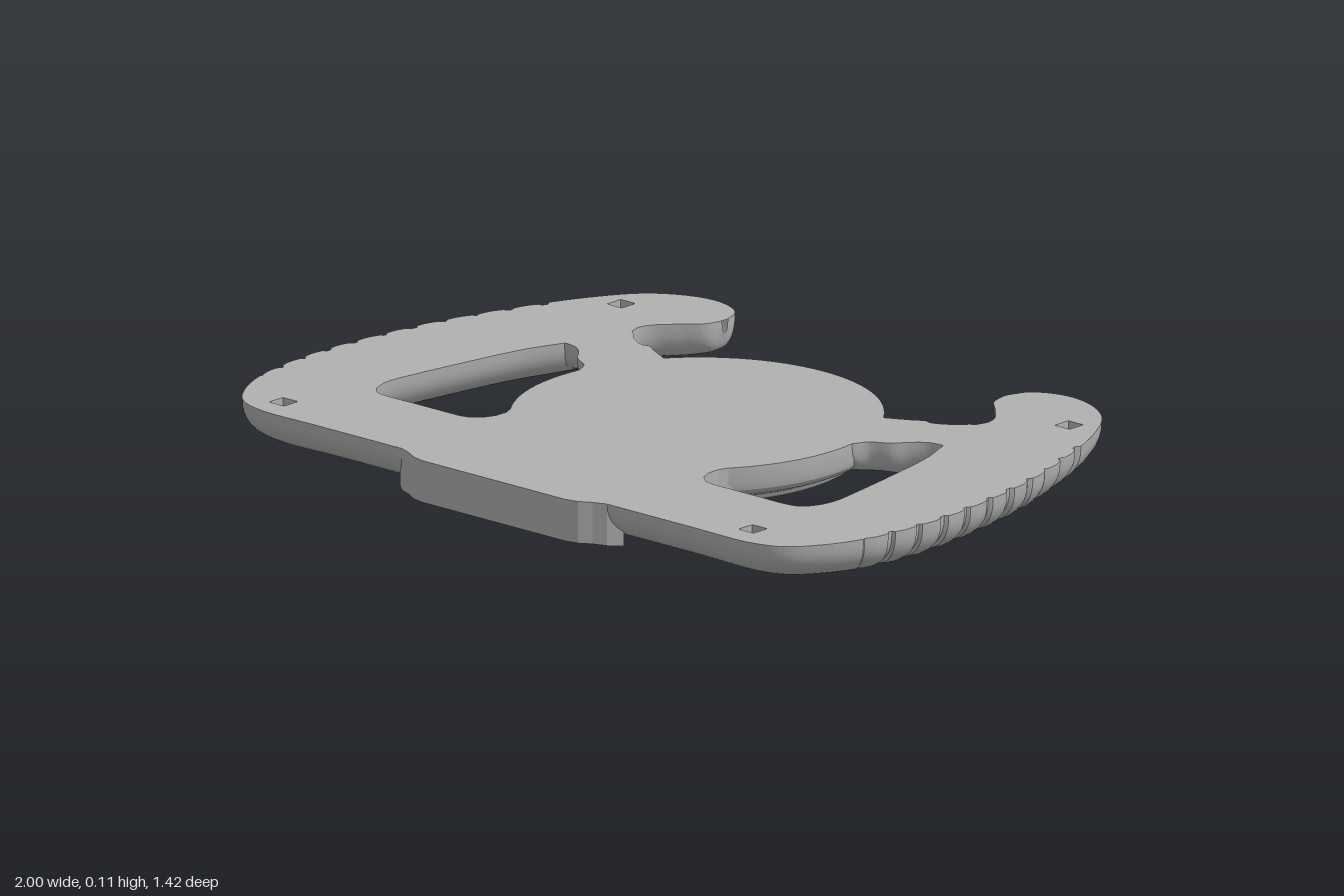
import * as THREE from 'three';
import { toCreasedNormals } from 'three/addons/utils/BufferGeometryUtils.js';

const TOP = 0.11;
const grey = new THREE.MeshStandardMaterial({ color: 0xb0b0b0, side: THREE.DoubleSide });
grey.name = 'grey plastic';

function part(name, geometry) {
  const mesh = new THREE.Mesh(geometry, grey);
  mesh.name = name;
  return mesh;
}

// Shape on the ground plane from [x, z] pairs
const flat = (pts) => pts.map(([x, z]) => new THREE.Vector2(x, -z));

function slab(pts, y0, y1, holes = []) {
  const shape = new THREE.Shape(flat(pts));
  holes.forEach((h) => shape.holes.push(new THREE.Path(flat(h))));
  return new THREE.ExtrudeGeometry(shape, { depth: y1 - y0, bevelEnabled: false })
    .rotateX(-Math.PI / 2).translate(0, y0, 0);
}

// Flat-topped, round-bottomed loft between two rails. Row: [ox, oz, ix, iz, depth]
function loft(rows, steps, inset = () => 0, pockets = []) {
  const outer = new THREE.CatmullRomCurve3(rows.map((r) => new THREE.Vector3(r[0], 0, r[1])));
  const inner = new THREE.CatmullRomCurve3(rows.map((r) => new THREE.Vector3(r[2], r[4], r[3])));
  const n = (rows.length - 1) * steps, ring = 24, pos = [], idx = [], edgeA = [], edgeB = [];
  for (let i = 0; i <= n; i++) {
    const o = outer.getPoint(i / n), q = inner.getPoint(i / n);
    const depth = Math.min(q.y, TOP);
    for (let j = 0; j <= ring; j++) {
      const a = (Math.PI * j) / ring, c = Math.cos(a), s = Math.max(0, Math.sin(a));
      const k = 1 - inset(o, j / ring);
      const u = Math.sign(c) * Math.abs(c) ** 0.8 * k;
      const x = (o.x + q.x) / 2 + (u * (o.x - q.x)) / 2;
      const z = (o.z + q.z) / 2 + (u * (o.z - q.z)) / 2;
      pos.push(x, TOP - depth * s ** 0.8 * k, z);
      if (j === 0) edgeA.push([x, z]);
      if (j === ring) edgeB.push([x, z]);
      if (i < n && j < ring) {
        const p = i * (ring + 1) + j, r = p + ring + 1;
        idx.push(p, r, p + 1, p + 1, r, r + 1);
      }
    }
  }
  const shell = new THREE.BufferGeometry();
  shell.setAttribute('position', new THREE.Float32BufferAttribute(pos, 3));
  shell.setIndex(idx);
  const shape = new THREE.Shape(flat([...edgeA, ...edgeB.reverse()]));
  pockets.forEach((h) => shape.holes.push(new THREE.Path(flat(h))));
  const cap = new THREE.ShapeGeometry(shape).rotateX(-Math.PI / 2).translate(0, TOP, 0);
  return { shell: toCreasedNormals(shell, 0.6), cap };
}

const square = (x, z, h) => [[x - h, z - h], [x + h, z - h], [x + h, z + h], [x - h, z + h]];

export function createModel() {
  const model = new THREE.Group();
  model.name = 'steeringWheel';

  // Rim: horn, grip, lower corner and half of the bottom bar, then mirrored
  const half = [
    [0.45, -0.62, 0.45, -0.60, 0.03], [0.472, -0.67, 0.465, -0.555, 0.075],
    [0.52, -0.70, 0.51, -0.51, 0.093], [0.58, -0.71, 0.55, -0.465, 0.1],
    [0.66, -0.69, 0.562, -0.43, 0.102], [0.74, -0.635, 0.555, -0.39, 0.104],
    [0.81, -0.53, 0.575, -0.33, 0.105], [0.88, -0.37, 0.61, -0.215, 0.106],
    [0.95, -0.15, 0.645, -0.12, 0.108], [0.985, 0.05, 0.68, 0.05, 0.109],
    [0.998, 0.2, 0.705, 0.2, 0.109], [0.995, 0.32, 0.715, 0.28, 0.108],
    [0.975, 0.45, 0.71, 0.32, 0.106], [0.93, 0.56, 0.695, 0.355, 0.104],
    [0.87, 0.635, 0.675, 0.373, 0.103], [0.79, 0.665, 0.64, 0.38, 0.102],
    [0.6, 0.667, 0.55, 0.38, 0.1], [0.35, 0.667, 0.35, 0.38, 0.1],
  ];
  const mirrored = half.map(([a, b, c, d, e]) => [-a, b, -c, d, e]).reverse();

  // Finger ridges on the outer side of each grip
  const ridges = (o, across) => {
    if (o.z < -0.43 || o.z > 0.46 || Math.abs(o.x) < 0.82 || across > 0.62) return 0;
    const f = ((o.z + 0.43) / 0.089) % 1;
    return f < 0.2 ? 0.085 : 0.03 - 0.03 * Math.sin((Math.PI * (f - 0.2)) / 0.8);
  };

  const holes = [[0.72, -0.54], [-0.72, -0.54], [0.72, 0.58], [-0.79, 0.58]];
  const rim = loft([...half, ...mirrored], 24, ridges, holes.map(([x, z]) => square(x, z, 0.024)));
  model.add(part('rimShell', rim.shell), part('rimTop', rim.cap));

  // Square pockets sunk into the top, open upwards
  for (const [x, z] of holes) {
    const g = new THREE.BoxGeometry(0.048, 0.05, 0.048).translate(x, TOP - 0.025, z);
    const index = Array.from(g.index.array);
    index.splice(12, 6);
    // Turn the walls to face inwards
    g.setIndex(index.reverse());
    g.clearGroups();
    const inward = g.toNonIndexed();
    inward.computeVertexNormals();
    model.add(part('pocket', inward));
  }

  // Hub disc with a stepped, bevelled underside
  const profile = [[0, 0.005], [0.385, 0.005], [0.395, 0.012], [0.4, 0.022], [0.43, 0.035],
    [0.445, 0.05], [0.45, 0.068], [0.45, TOP], [0, TOP]];
  const hub = new THREE.LatheGeometry(profile.map(([x, y]) => new THREE.Vector2(x, y)), 96);
  hub.scale(0.985, 1, 1).translate(0, 0, -0.015);
  model.add(part('hub', toCreasedNormals(hub, 0.45)));

  // Spokes with a wider collar, and the rounded webs between hub and bottom bar
  const spokeRows = [
    [0.32, -0.27, 0.40, -0.04, 0.085], [0.36, -0.29, 0.437, -0.08, 0.088],
    [0.415, -0.318, 0.457, -0.118, 0.092], [0.445, -0.335, 0.505, -0.148, 0.094],
    [0.465, -0.332, 0.535, -0.185, 0.082], [0.51, -0.355, 0.57, -0.212, 0.078],
    [0.555, -0.395, 0.622, -0.216, 0.08], [0.63, -0.41, 0.68, -0.19, 0.085],
  ];
  const web = [[0.2, 0.45], [0.42, 0.45], [0.41, 0.381], [0.38, 0.373], [0.355, 0.352],
    [0.342, 0.32], [0.341, 0.285], [0.355, 0.25], [0.2, 0.25]];
  for (const side of [1, -1]) {
    const arm = new THREE.Group();
    arm.name = side > 0 ? 'leftSpoke' : 'rightSpoke';
    const spoke = loft(spokeRows, 8);
    arm.add(part('spokeShell', spoke.shell), part('spokeTop', spoke.cap));
    arm.add(part('web', slab(web, 0.04, TOP)));
    arm.scale.x = side;
    model.add(arm);
  }

  // Raised pad on the bottom bar with three slots underneath
  const edge = [[0.36, 0.64], [0.33, 0.667], [0.295, 0.68], [0.265, 0.698], [0.23, 0.706]];
  const pad = [[0.28, 0.55], ...edge];
  const padOutline = [...pad, ...pad.map(([x, z]) => [-x, z]).reverse()];
  const slot = (cx) => Array.from({ length: 20 }, (_, i) => {
    const a = (i / 20) * Math.PI * 2;
    return [cx + 0.02 * Math.cos(a), 0.615 + 0.018 * Math.sign(Math.sin(a)) + 0.02 * Math.sin(a)];
  });
  model.add(part('bottomPad', slab(padOutline, 0.006, TOP, [-0.1, 0, 0.1].map(slot))));

  return model;
}
